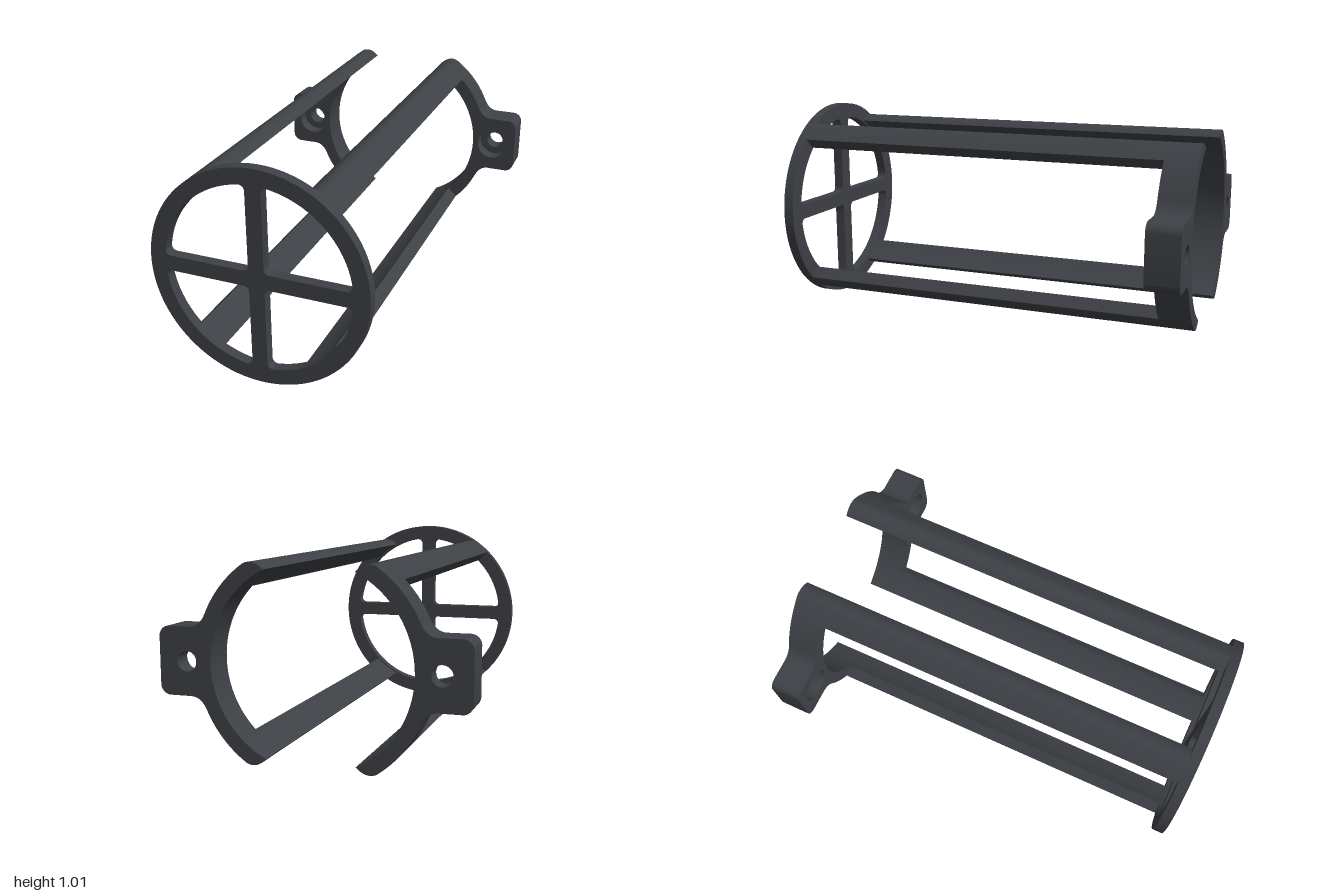
import * as THREE from 'three';
import { toCreasedNormals } from 'three/addons/utils/BufferGeometryUtils.js';

const CY = 0.505;            // height of the cage axis
const R_OUT = 0.505, R_IN = 0.44;
const material = new THREE.MeshStandardMaterial({ color: 0x3d4045 });

// Extrude a shape between two z positions, with smooth curves and sharp edges
function slab(shape, z0, z1, curveSegments = 24) {
  const g = new THREE.ExtrudeGeometry(shape, { depth: z1 - z0, bevelEnabled: false, curveSegments });
  g.translate(0, 0, z0);
  return toCreasedNormals(g, 0.5);
}

function part(name, geometry, turn = 0) {
  const mesh = new THREE.Mesh(geometry, material);
  mesh.name = name;
  mesh.rotation.z = turn;
  return mesh;
}

// Front ring with a cross of spokes: a disc with four rounded quadrant holes
function frontRing() {
  const w = 0.036, f = 0.025, R = 0.432;
  const c = Math.sqrt((R - f) ** 2 - (w + f) ** 2);
  const th = Math.atan2(w + f, c);
  const hole = new THREE.Path();
  hole.absarc(w + f, w + f, f, Math.PI, 1.5 * Math.PI);
  hole.absarc(c, w + f, f, -Math.PI / 2, th);
  hole.absarc(0, 0, R, th, Math.PI / 2 - th);
  hole.absarc(w + f, c, f, Math.PI / 2 - th, Math.PI);
  const points = hole.getPoints(16);

  const disc = new THREE.Shape().absarc(0, 0, R_OUT, 0, Math.PI * 2);
  for (let i = 0; i < 4; i++) {
    const turned = points.map(p => p.clone().rotateAround(new THREE.Vector2(), i * Math.PI / 2));
    disc.holes.push(new THREE.Path(turned));
  }
  return slab(disc, 0.95, 1, 64);
}

// Angles of the rod section: radial cut on the side, rounded lip towards the gap
const A_CUT = Math.PI / 4;
const A_OUT = Math.atan2(0.418, 0.283);
const A_IN = Math.atan2(0.394, 0.195);

// Rounded lip from the outer arc to the inner arc
function lip(path, sy = 1) {
  const out = [R_OUT * Math.cos(A_OUT), sy * R_OUT * Math.sin(A_OUT)];
  const inn = [R_IN * Math.cos(A_IN), sy * R_IN * Math.sin(A_IN)];
  if (sy > 0) path.quadraticCurveTo(0.24, 0.438, ...inn);
  else path.quadraticCurveTo(0.24, -0.438, ...out);
}

// Long rod, a curved strip of the tube wall; sy mirrors it top to bottom
function rod(sy) {
  const s = new THREE.Shape();
  s.absarc(0, 0, R_OUT, A_CUT, A_OUT);
  lip(s);
  s.absarc(0, 0, R_IN, A_IN, A_CUT, true);
  const points = s.getPoints(12).map(p => new THREE.Vector2(p.x, p.y * sy));
  return slab(new THREE.Shape(points), -0.85, 0.95);
}

// Rear clamp half with a filleted mounting tab, pierced by a round hole
function clamp(holeRadius, z0, z1) {
  const X = 0.675, H = 0.148, r = 0.045;
  const aTab = Math.atan2(0.205, 0.461);
  const s = new THREE.Shape();
  s.absarc(0, 0, R_IN, A_IN, -A_IN, true);
  lip(s, -1);
  s.absarc(0, 0, R_OUT, -A_OUT, -aTab);
  s.quadraticCurveTo(0.487, -H, 0.535, -H);
  s.lineTo(X - r, -H);
  s.absarc(X - r, -H + r, r, -Math.PI / 2, 0);
  s.absarc(X - r, H - r, r, 0, Math.PI / 2);
  s.lineTo(0.535, H);
  s.quadraticCurveTo(0.487, H, R_OUT * Math.cos(aTab), R_OUT * Math.sin(aTab));
  s.absarc(0, 0, R_OUT, aTab, A_OUT);
  lip(s);
  s.holes.push(new THREE.Path().absarc(0.55, 0, holeRadius, 0, Math.PI * 2, true));
  return slab(s, z0, z1);
}

export function createModel() {
  const model = new THREE.Group();
  model.name = 'cageHolder';
  const cage = new THREE.Group();
  cage.name = 'cage';
  cage.position.y = CY;
  model.add(cage);

  cage.add(part('frontRing', frontRing()));

  // A half turn about the axis gives the other side
  const topRod = rod(1), bottomRod = rod(-1);
  const clampBack = clamp(0.044, -1, -0.92);      // screw hole
  const clampFront = clamp(0.082, -0.92, -0.85);  // counterbore
  for (const [side, turn] of [['left', 0], ['right', Math.PI]]) {
    cage.add(
      part(side + (turn ? 'BottomRod' : 'TopRod'), topRod, turn),
      part(side + (turn ? 'TopRod' : 'BottomRod'), bottomRod, turn),
      part(side + 'ClampBack', clampBack, turn),
      part(side + 'ClampFront', clampFront, turn),
    );
  }
  return model;
}
